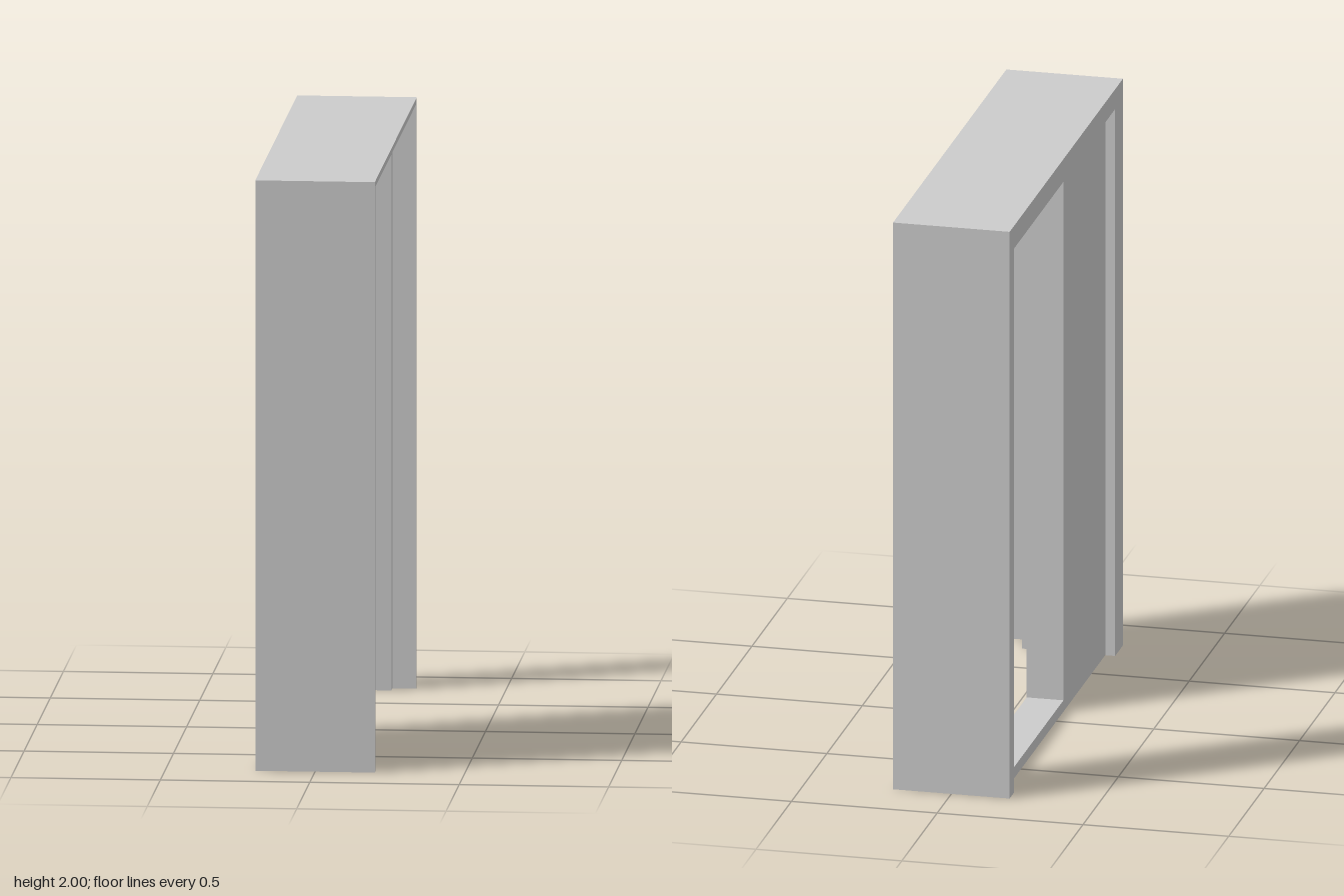
import * as THREE from 'three';

const material = new THREE.MeshStandardMaterial({ color: 0xcccccc, side: THREE.DoubleSide });

// Sheet between consecutive rails; each rail is [x, [[z, y], ...]].
function sheet(rails) {
  const pos = [];
  for (let i = 0; i + 1 < rails.length; i++) {
    const [x0, p] = rails[i], [x1, q] = rails[i + 1];
    for (let j = 0; j + 1 < p.length; j++) {
      const a = [x0, p[j][1], p[j][0]], b = [x1, q[j][1], q[j][0]];
      const c = [x1, q[j + 1][1], q[j + 1][0]], d = [x0, p[j + 1][1], p[j + 1][0]];
      pos.push(...a, ...b, ...c, ...a, ...c, ...d);
    }
  }
  const g = new THREE.BufferGeometry();
  g.setAttribute('position', new THREE.Float32BufferAttribute(pos, 3));
  g.computeVertexNormals();
  return g;
}

// Path up the left jamb, across the head and down the right jamb
const arch = (zA, zB, top) => [[zA, 0], [zA, top], [zB, top], [zB, 0]];

const OUTER = arch(0.8, -0.8, 2);
const LIP = arch(0.78, -0.78, 1.98);
const STOP = arch(0.69, -0.74, 1.93);
const OPENING = [[0.1, 0.04], [0.1, 1.87], [-0.7, 1.87], [-0.7, 0.04]];
const FRONT = -0.04, BACK = -0.166, STEP = 0.12;

// Flat panel skin with the opening cut out, facing +x (side 1) or -x (side -1)
function skin(x, side) {
  const points = path => path.map(([z, y]) => new THREE.Vector2(-side * z, y));
  const shape = new THREE.Shape(points(STOP));
  shape.holes.push(new THREE.Path(points(OPENING)));
  return new THREE.ShapeGeometry(shape).rotateY(side * Math.PI / 2).translate(x, 0, 0);
}

export function createModel() {
  const model = new THREE.Group();
  model.name = 'doorFrame';
  const add = (name, geometry, parent = model) => {
    const mesh = new THREE.Mesh(geometry, material);
    mesh.name = name;
    parent.add(mesh);
    return mesh;
  };

  // Hollow casing, open at the floor, stepping in from the lip to the stop
  add('casing', sheet([
    [-0.2, OUTER], [0.2, OUTER], [0.2, LIP], [STEP, LIP], [STEP, STOP], [FRONT, STOP],
  ]));
  add('backTrim', sheet([[BACK, STOP], [-0.2, STOP], [-0.2, OUTER]]));

  // Hollow panel with its lined opening
  add('panelFrontSkin', skin(FRONT, 1));
  add('panelBackSkin', skin(BACK, -1));
  const loop = [...OPENING, OPENING[0]];
  add('openingLining', sheet([[FRONT, loop], [BACK, loop]]));

  // Two hinges beside the opening
  for (const y of [0.285, 1.375]) {
    const hinge = new THREE.Group();
    hinge.name = 'hinge';
    hinge.position.set(FRONT + 0.007, y, 0);
    add('hingeLeaf', new THREE.BoxGeometry(0.014, 0.15, 0.028), hinge).position.z = -0.704;
    add('hingeKnuckle', new THREE.BoxGeometry(0.014, 0.15, 0.009), hinge).position.z = -0.7225;
    model.add(hinge);
  }
  return model;
}
